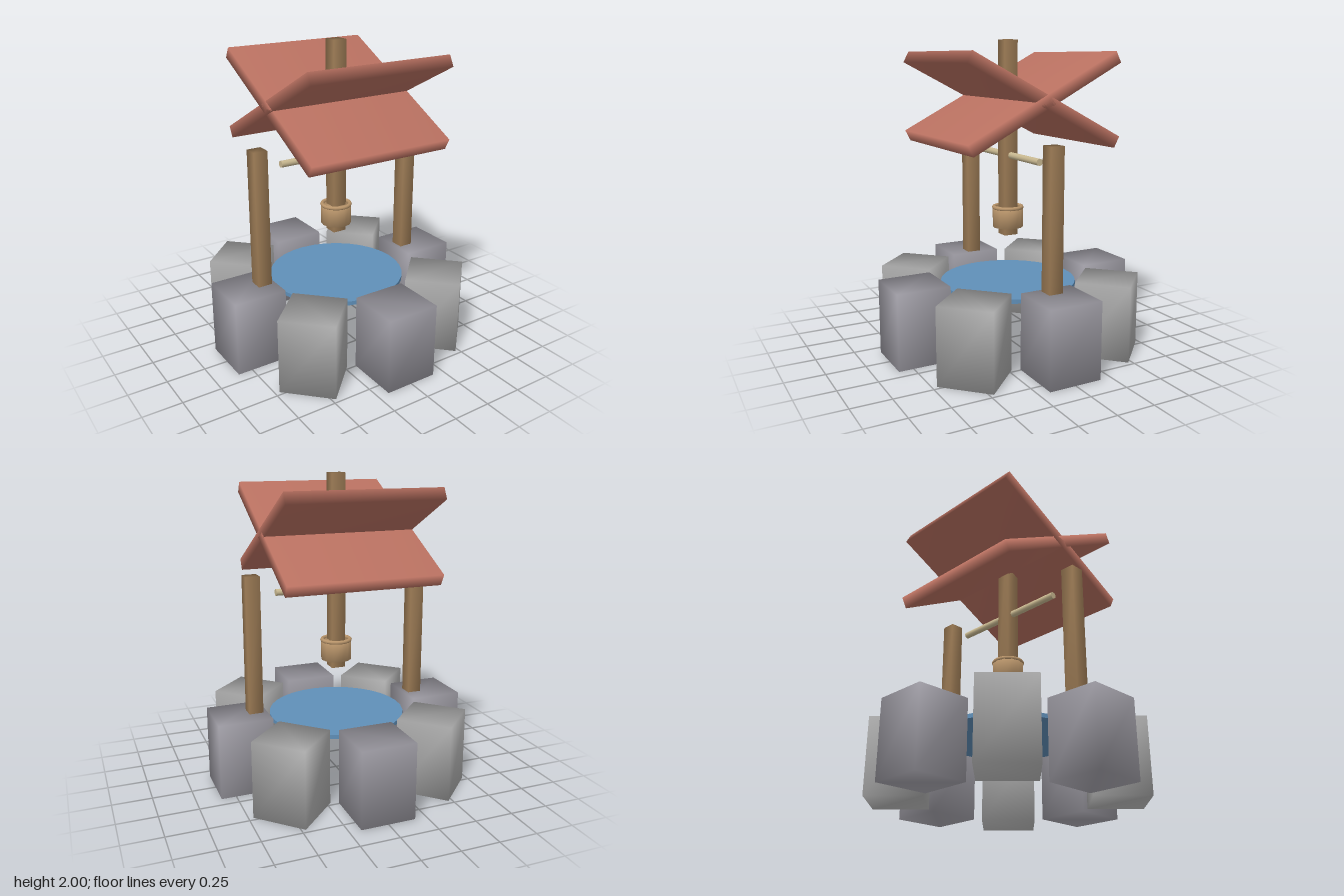
import * as THREE from 'three';
import { mergeVertices } from 'three/addons/utils/BufferGeometryUtils.js';

const material = (color) => new THREE.MeshStandardMaterial({ color });
const wood = material(0x9c7b55);
const bucketWood = material(0xb8946a);
const pale = material(0xc8b890);
const tile = material(0xb87060);
const water = material(0x5f8fb8);
const stoneDark = material(0x9a98a0);
const stoneLight = material(0xaaaaaa);

// Welds corners so the normals blend softly across the edges
function soften(geometry) {
  geometry.deleteAttribute('uv');
  geometry.deleteAttribute('normal');
  const welded = mergeVertices(geometry);
  welded.computeVertexNormals();
  return welded;
}

const softBox = (w, h, d) => soften(new THREE.BoxGeometry(w, h, d));

export function createModel() {
  const model = new THREE.Group();
  model.name = 'well';

  function add(name, geometry, mat, x, y, z, parent = model) {
    const mesh = new THREE.Mesh(geometry, mat);
    mesh.name = name;
    mesh.position.set(x, y, z);
    parent.add(mesh);
    return mesh;
  }

  // Ring of eight stone blocks in two alternating greys
  const ring = new THREE.Group();
  ring.name = 'stoneRing';
  model.add(ring);
  const block = softBox(0.35, 0.49, 0.35);
  for (let i = 0; i < 8; i++) {
    const a = (i * Math.PI) / 4;
    const stone = add('stone', block, i % 2 ? stoneLight : stoneDark,
      Math.cos(a) * 0.67, 0.245, Math.sin(a) * 0.67, ring);
    stone.rotation.y = -a;
  }

  // Water disc
  add('water', new THREE.CylinderGeometry(0.45, 0.45, 0.027, 32), water, 0, 0.412, 0);

  // Two side posts standing on the stones and the tall centre post
  const sidePost = softBox(0.093, 0.9, 0.093);
  add('leftPost', sidePost, wood, 0.569, 0.932, 0);
  add('rightPost', sidePost, wood, -0.569, 0.932, 0);
  add('centrePost', softBox(0.093, 1.265, 0.093), wood, 0, 1.3675, 0);

  // Crossed roof panels
  const panel = softBox(1, 0.078, 1.13);
  for (const side of [1, -1]) {
    add(side > 0 ? 'frontRoofPanel' : 'backRoofPanel', panel, tile, 0, 1.63, 0)
      .rotation.x = side * 0.48;
  }

  // Winding bar
  const bar = add('windingBar', new THREE.CylinderGeometry(0.022, 0.022, 0.82, 12), pale, 0, 1.264, 0);
  bar.rotation.z = Math.PI / 2;

  // Bucket with a rounded rim
  const bucket = new THREE.Group();
  bucket.name = 'bucket';
  model.add(bucket);
  add('bucketBody', soften(new THREE.CylinderGeometry(0.1, 0.1, 0.13, 12)), bucketWood, 0, 0.85, 0, bucket);
  const rim = add('bucketRim', new THREE.TorusGeometry(0.092, 0.013, 8, 20), bucketWood, 0, 0.917, 0, bucket);
  rim.rotation.x = Math.PI / 2;

  return model;
}
